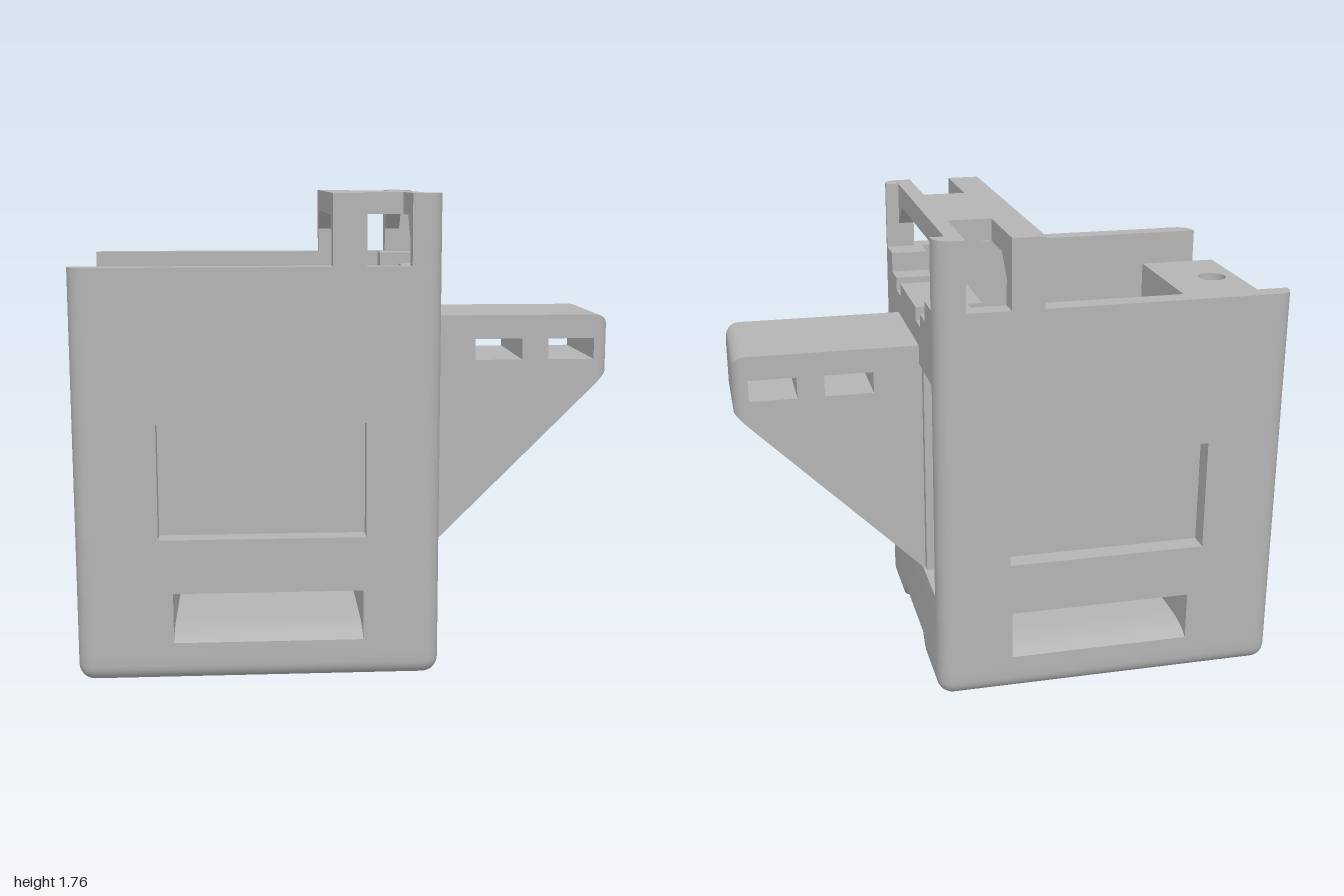
import * as THREE from 'three';
import { toCreasedNormals } from 'three/addons/utils/BufferGeometryUtils.js';
import { RoundedBoxGeometry } from 'three/addons/geometries/RoundedBoxGeometry.js';

const grey = new THREE.MeshStandardMaterial({ color: 0xb4b4b4 });
grey.name = 'light grey';

// Move every vertex by a rule, then restore clean normals
function reshape(geometry, rule) {
  const p = geometry.attributes.position, v = new THREE.Vector3();
  for (let i = 0; i < p.count; i++) {
    rule(v.fromBufferAttribute(p, i));
    p.setXYZ(i, v.x, v.y, v.z);
  }
  return toCreasedNormals(geometry, 0.6);
}

// A slice of the housing's rounded hull, cut to the given ranges
function slice(x0, x1, y0, y1, z0, z1, slope) {
  const hull = new RoundedBoxGeometry(1.32, 2.5, 1.1, 4, 0.06);
  hull.translate(-0.34, 1.25, 0);
  const lo = new THREE.Vector3(x0, y0, z0), hi = new THREE.Vector3(x1, y1, z1);
  return reshape(hull, v => {
    v.clamp(lo, hi);
    if (slope) slope(v);
  });
}

const box = (x0, x1, y0, y1, z0, z1) =>
  new THREE.BoxGeometry(x1 - x0, y1 - y0, z1 - z0)
    .translate((x0 + x1) / 2, (y0 + y1) / 2, (z0 + z1) / 2);

const outline = pts => new THREE.Shape(pts.map(([a, b]) => new THREE.Vector2(a, b)));

// Extrude a (z, y) section along x
function alongX(shape, x0, x1) {
  const g = new THREE.ExtrudeGeometry(shape, { depth: x1 - x0, bevelEnabled: false });
  return g.rotateY(Math.PI / 2).translate(x0, 0, 0);
}

export function createModel() {
  const model = new THREE.Group();
  model.name = 'toolHolder';
  const add = (name, geometry) => {
    const mesh = new THREE.Mesh(geometry, grey);
    mesh.name = name;
    model.add(mesh);
  };
  const X0 = -1, X1 = 0.32, Z = 0.55, ZI = 0.475, P = 0.26;

  // Base: two feet beside a groove, with a strap slot running across
  add('footLeft', slice(X0, X1, 0, 0.1, 0, Z, v => { v.z = Math.max(v.z, 0.3 - v.y); }));
  add('footRight', slice(X0, X1, 0, 0.1, -Z, 0, v => { v.z = Math.min(v.z, v.y - 0.3); }));
  add('baseLower', slice(X0, X1, 0.1, 0.145, -Z, Z));
  add('baseRear', slice(X0, -0.65, 0.145, 0.33, -Z, Z));
  add('baseFront', slice(0.04, X1, 0.145, 0.33, -Z, Z));
  add('baseUpper', slice(X0, X1, 0.33, 0.4, -Z, Z));

  // Arched floor of the strap slot
  const arch = new THREE.Shape();
  arch.moveTo(-Z, 0.145);
  arch.lineTo(Z, 0.145);
  arch.quadraticCurveTo(0.5, 0.18, 0.4, 0.18);
  arch.lineTo(-0.4, 0.18);
  arch.quadraticCurveTo(-0.5, 0.18, -Z, 0.145);
  add('strapSlotFloor', toCreasedNormals(alongX(arch, -0.65, 0.04), 0.6));

  // Side walls with a window and two raised columns
  for (const [side, z0, z1] of [['Left', ZI, Z], ['Right', -Z, -ZI]]) {
    const wall = (part, x0, x1, y0, y1) => add('wall' + part + side, slice(x0, x1, y0, y1, z0, z1));
    wall('BelowWindow', X0, X1, 0.4, 0.53);
    wall('BesideWindowRear', X0, -0.7, 0.53, 0.95);
    wall('BesideWindowFront', 0.05, X1, 0.53, 0.95);
    wall('AboveWindow', X0, X1, 0.95, 1.505);
    wall('ColumnRear', -0.07, 0.05, 1.505, 1.76);
    wall('ColumnFront', 0.21, X1, 1.505, 1.76);
  }

  // Bridge across the top, slotted at both ends
  const bridge = outline([[-ZI, 1.6], [-0.4, 1.68], [0.4, 1.68], [ZI, 1.6], [ZI, 1.76], [-ZI, 1.76]]);
  add('bridgeRear', alongX(bridge, -0.07, 0.05));
  add('bridgeFront', alongX(bridge, 0.21, 0.27));
  add('bridgeCentre', box(0.05, 0.21, 1.68, 1.76, -0.235, 0.235));

  // Rear post with a screw hole in its top
  add('rearPost', box(X0, -0.7, 0.4, 1.1, -P, P));
  const top = outline([[X0, -P], [-0.7, -P], [-0.7, P], [X0, P]]);
  top.holes.push(new THREE.Path().absarc(-0.9, 0, 0.055, 0, Math.PI * 2, true));
  const topGeometry = new THREE.ExtrudeGeometry(top, { depth: 0.33, bevelEnabled: false, curveSegments: 24 });
  add('rearPostTop', toCreasedNormals(topGeometry.rotateX(-Math.PI / 2).translate(0, 1.1, 0), 0.6));

  // Core between the posts, and the front post
  add('core', box(-0.7, 0.07, 0.4, 1.05, -P, P));
  add('frontPost', box(0.07, 0.31, 0.4, 1.3, -P, P));

  // Front crossbar with two notches, standing between the end blocks
  const bar = outline([
    [-0.36, 1.23], [0.36, 1.23], [0.36, 1.43], [P, 1.43], [P, 1.38], [0.17, 1.38], [0.17, 1.43],
    [-0.17, 1.43], [-0.17, 1.38], [-P, 1.38], [-P, 1.43], [-0.36, 1.43],
  ]);
  add('crossbar', alongX(bar, 0.18, X1));
  add('crossbarBack', box(0.07, 0.18, 1.3, 1.43, -0.17, 0.17));
  for (const s of [-1, 1]) {
    add('crossbarShoulder', box(0.07, 0.18, 1.3, 1.38, s * 0.215 - 0.045, s * 0.215 + 0.045));
    add('crossbarEnd', box(0.18, X1, 1.23, 1.505, s * 0.4175 - 0.0575, s * 0.4175 + 0.0575));
  }

  // Bracket: wedge with two slots and a rounded tip
  const wedge = outline([[0.3, 0.4], [0.32, 0.4], [0.95, 1.03], [0.95, 1.3], [0.3, 1.3]]);
  for (const [a, b] of [[0.49, 0.67], [0.77, 0.945]]) {
    wedge.holes.push(outline([[a, 1.13], [a, 1.21], [b, 1.21], [b, 1.13]]));
  }
  add('bracket', new THREE.ExtrudeGeometry(wedge, { depth: 0.45, bevelEnabled: false }).translate(0, 0, -0.225));
  const tip = new THREE.BoxGeometry(1, 1, 1, 6, 1, 1);
  add('bracketTip', reshape(tip, v => {
    const a = (v.x + 0.5) * Math.PI / 2, drop = 0.05 * (1 - Math.cos(a));
    v.x = 0.95 + 0.05 * Math.sin(a);
    v.y = v.y > 0 ? 1.3 - drop : v.x + 0.08;
    v.z = Math.sign(v.z) * (0.225 - drop);
  }));

  return model;
}
